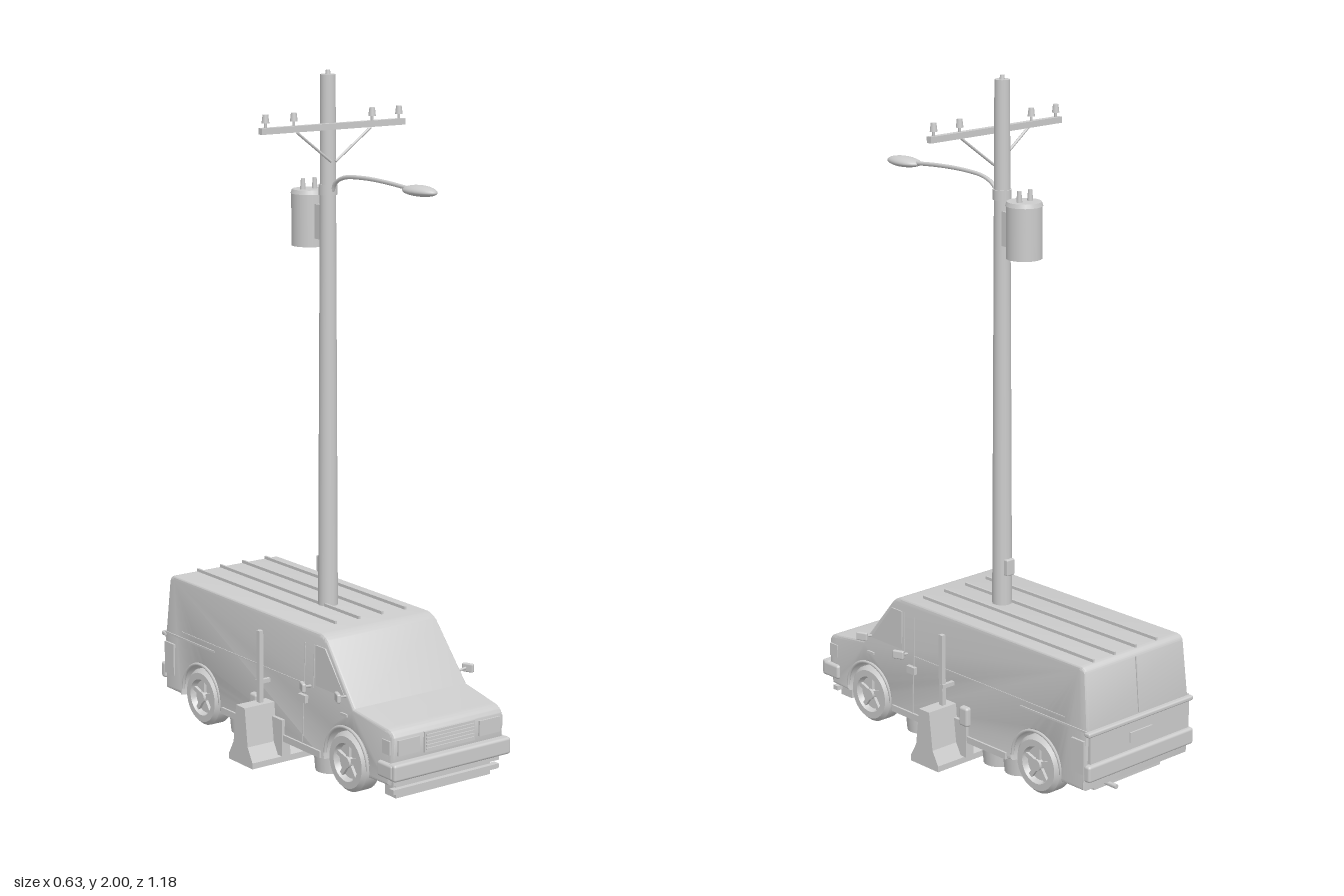
import * as THREE from 'three';
import { toCreasedNormals } from 'three/addons/utils/BufferGeometryUtils.js';
import { RoundedBoxGeometry } from 'three/addons/geometries/RoundedBoxGeometry.js';

export function createModel() {
  const model = new THREE.Group();
  const gray = new THREE.MeshStandardMaterial({ color: 0xcccccc });
  gray.name = 'lightGray';

  const add = (name, geo, x = 0, y = 0, z = 0, parent = model) => {
    const m = new THREE.Mesh(geo, gray);
    m.name = name;
    m.position.set(x, y, z);
    parent.add(m);
    return m;
  };
  const box = (name, w, h, d, x, y, z) => add(name, new THREE.BoxGeometry(w, h, d), x, y, z);
  const rbox = (name, w, h, d, x, y, z, r = 0.008) =>
    add(name, new RoundedBoxGeometry(w, h, d, 2, r), x, y, z);
  const cyl = (name, rt, rb, h, x, y, z, n = 20) =>
    add(name, new THREE.CylinderGeometry(rt, rb, h, n), x, y, z);
  const rod = (name, a, b, r) => {
    const p = new THREE.Vector3(...a), q = new THREE.Vector3(...b);
    const d = q.clone().sub(p);
    const m = add(name, new THREE.CylinderGeometry(r, r, d.length(), 8));
    m.position.copy(p).add(q).multiplyScalar(0.5);
    m.quaternion.setFromUnitVectors(new THREE.Vector3(0, 1, 0), d.normalize());
    return m;
  };
  // extrude a (z, y) outline across x, centred
  const across = (shape, width, bevel = 0) => {
    const g = new THREE.ExtrudeGeometry(shape, {
      depth: width - 2 * bevel, curveSegments: 14, bevelEnabled: bevel > 0,
      bevelSize: bevel, bevelThickness: bevel, bevelOffset: -bevel, bevelSegments: 3,
    });
    g.translate(0, 0, -(width - 2 * bevel) / 2);
    g.rotateY(-Math.PI / 2);
    return g;
  };

  // van body: side outline with wheel arches, sides leaning in towards the roof
  const wheelsZ = [-0.37, 0.365];
  const side = (y) => 0.212 - 0.036 * (y - 0.07);
  const s = new THREE.Shape();
  s.moveTo(-0.565, 0.07);
  for (const z of wheelsZ) {
    s.lineTo(z - 0.098, 0.07);
    s.absarc(z, 0.09, 0.1, Math.PI + 0.2, -0.2, true);
  }
  s.lineTo(0.55, 0.07);
  s.lineTo(0.565, 0.14);
  s.lineTo(0.567, 0.205);
  s.quadraticCurveTo(0.563, 0.228, 0.53, 0.232);
  s.lineTo(0.395, 0.252);
  s.lineTo(0.265, 0.412);
  s.quadraticCurveTo(0.25, 0.428, 0.225, 0.432);
  s.lineTo(-0.53, 0.432);
  s.quadraticCurveTo(-0.55, 0.432, -0.555, 0.415);
  s.lineTo(-0.572, 0.24);
  const bodyGeo = across(s, 0.42, 0.01);
  const p = bodyGeo.attributes.position;
  for (let i = 0; i < p.count; i++) {
    const nose = 1 - 0.3 * Math.max(0, p.getZ(i) - 0.4);
    p.setX(i, p.getX(i) / 0.21 * side(p.getY(i)) * nose);
  }
  add('vanBody', toCreasedNormals(bodyGeo, 0.5));
  box('underside', 0.27, 0.16, 1.06, 0, 0.12, 0);

  // roof ribs
  for (const x of [-0.106, -0.022, 0.0625, 0.147]) box('roofRib', 0.007, 0.012, 0.715, x, 0.435, -0.178);

  // wheels
  const w = 0.034;
  const tire = new THREE.LatheGeometry([
    [0, -0.5 * w], [0.05, -0.5 * w], [0.056, -w], [0.076, -w], [0.087, -0.65 * w],
    [0.087, 0.65 * w], [0.076, w], [0.056, w], [0.05, 0.5 * w], [0, 0.5 * w],
  ].map(([r, y]) => new THREE.Vector2(r, y)), 32);
  const tireGeo = toCreasedNormals(tire, 0.6).rotateZ(Math.PI / 2);
  for (const z of wheelsZ) {
    for (const k of [1, -1]) {
      const g = new THREE.Group();
      g.name = 'wheel';
      g.position.set(k * 0.177, 0.088, z);
      model.add(g);
      add('tire', tireGeo, 0, 0, 0, g);
      add('hub', new THREE.CylinderGeometry(0.017, 0.017, 0.024, 16).rotateZ(Math.PI / 2), k * 0.022, 0, 0, g);
      for (let i = 0; i < 5; i++) {
        const a = i * Math.PI * 0.4;
        const spoke = add('spoke', new THREE.BoxGeometry(0.012, 0.04, 0.014),
          k * 0.02, Math.cos(a) * 0.034, Math.sin(a) * 0.034, g);
        spoke.rotation.x = a;
      }
      // raised arch lip
      const lip = add('archLip', new THREE.TorusGeometry(0.1, 0.005, 6, 24, Math.PI), k * 0.208, 0.09, z);
      lip.rotation.y = Math.PI / 2;
    }
    rod('axle', [-0.16, 0.08, z], [0.16, 0.08, z], 0.014);
  }

  // front end
  rbox('frontBumper', 0.42, 0.05, 0.032, 0, 0.115, 0.574);
  for (const k of [1, -1]) {
    rbox('bumperEnd', 0.02, 0.045, 0.07, k * 0.203, 0.115, 0.545);
    box('headlight', 0.075, 0.045, 0.008, k * 0.145, 0.18, 0.568);
    box('turnSignal', 0.008, 0.04, 0.035, k * 0.199, 0.18, 0.54);
  }
  box('grilleFrame', 0.18, 0.06, 0.008, 0, 0.18, 0.568);
  for (let i = 0; i < 5; i++) box('grilleBar', 0.172, 0.005, 0.006, 0, 0.16 + i * 0.01, 0.573);
  for (let i = 0; i < 2; i++) box('lowerSlat', 0.38, 0.014, 0.02, 0, 0.05 + i * 0.025, 0.55);
  box('frontValance', 0.34, 0.06, 0.05, 0, 0.055, 0.52);

  // rear end
  rbox('rearBumper', 0.426, 0.05, 0.024, 0, 0.125, -0.576);
  box('rearPanel', 0.4, 0.085, 0.012, 0, 0.195, -0.573);
  rbox('rearSill', 0.424, 0.014, 0.022, 0, 0.242, -0.575, 0.005);
  box('rearDoorSeam', 0.004, 0.165, 0.004, 0, 0.335, -0.564).rotation.x = 0.097;
  box('rearPlate', 0.09, 0.03, 0.006, 0, 0.19, -0.581);
  rod('exhaust', [0.1, 0.06, -0.4], [0.1, 0.058, -0.585], 0.007);

  // side details, mirrored
  for (const k of [1, -1]) {
    const strip = (name, y, z, h, d, t = 0.006) => box(name, t, h, d, k * side(y), y, z);
    strip('beltMoulding', 0.248, -0.435, 0.006, 0.27);
    strip('upperSeam', 0.268, -0.16, 0.003, 0.64, 0.004);
    strip('doorSeam', 0.24, 0.16, 0.3, 0.003, 0.004).rotation.z = k * 0.036;
    strip('doorSeam', 0.33, 0.205, 0.13, 0.003, 0.004).rotation.z = k * 0.036;
    strip('rocker', 0.08, 0, 0.02, 0.5, 0.012);
    strip('rearCorner', 0.17, -0.54, 0.1, 0.05, 0.01);
    strip('doorHandle', 0.226, 0.163, 0.022, 0.035, 0.024);
    strip('sideLamp', 0.226, 0.355, 0.008, 0.03, 0.01);

    // door window as a thin plate
    const win = new THREE.Shape([[0.215, 0.275], [0.355, 0.275], [0.26, 0.395], [0.215, 0.395]]
      .map(([z, y]) => new THREE.Vector2(z, y)));
    const pane = add('doorWindow', across(win, 0.004), k * 0.2035);
    pane.rotation.z = 0;

    // mirrors
    for (const [z, y] of [[0.195, 0.272], [0.362, 0.284]]) {
      rod('mirrorArm', [k * 0.2, y - 0.005, z - 0.005], [k * 0.236, y, z - 0.003], 0.004);
      rbox('mirror', 0.012, 0.026, 0.036, k * 0.236, y, z, 0.004).rotation.y = k * 0.4;
    }

    // barrier end posts and blocks beside the van
    box('barrierPost', 0.014, 0.225, 0.015, k * 0.243, 0.28, -0.008);
    box('postBracket', 0.045, 0.012, 0.012, k * 0.228, 0.235, -0.014);
    box('sideBlock', 0.03, 0.11, 0.155, k * 0.206, 0.08, -0.008);
    rbox('sideCanister', 0.025, 0.06, 0.036, k * 0.212, 0.15, -0.075);
    for (const z of [0.2, -0.14, -0.23]) cyl('underTank', 0.05, 0.045, 0.055, k * 0.14, 0.035, z);
  }

  // concrete barrier running crosswise under the van
  const half = [[0.06, 0], [0.06, 0.018], [0.036, 0.06], [0.022, 0.175]];
  const outline = [...half, ...half.map(([z, y]) => [-z, y]).reverse()];
  add('barrier', across(new THREE.Shape(outline.map(([z, y]) => new THREE.Vector2(z, y))), 0.628), 0, 0, -0.007);

  // utility pole
  const poleZ = -0.004;
  cyl('pole', 0.022, 0.03, 1.64, 0, 1.17, poleZ, 16).scale.set(1, 0.997, 1);
  cyl('poleCap', 0.006, 0.009, 0.02, 0, 1.99, poleZ, 12);
  rbox('poleBox', 0.03, 0.05, 0.018, 0, 0.55, -0.034, 0.004);

  // crossarm with insulators and braces
  box('crossarm', 0.505, 0.018, 0.018, 0, 1.842, 0.022);
  for (const x of [-0.235, -0.138, 0.138, 0.235]) {
    cyl('insulatorPin', 0.004, 0.004, 0.02, x, 1.857, 0.022, 8);
    cyl('insulator', 0.008, 0.011, 0.024, x, 1.876, 0.022, 12);
  }
  for (const k of [1, -1]) rod('crossarmBrace', [k * 0.13, 1.832, 0.026], [k * 0.008, 1.742, 0.022], 0.004);

  // transformer can
  cyl('transformer', 0.052, 0.052, 0.155, 0, 1.567, -0.095, 28);
  cyl('transformerLid', 0.05, 0.054, 0.012, 0, 1.647, -0.095, 28);
  for (const k of [1, -1]) cyl('bushing', 0.006, 0.009, 0.035, k * 0.021, 1.667, -0.097, 10);
  box('transformerBracket', 0.035, 0.1, 0.03, 0, 1.565, -0.036);

  // street lamp arm and head
  const path = new THREE.CatmullRomCurve3([
    [0.015, 1.65], [0.03, 1.68], [0.07, 1.7], [0.16, 1.708], [0.27, 1.706], [0.38, 1.698],
  ].map(([z, y]) => new THREE.Vector3(0, y, z)));
  add('lampArm', new THREE.TubeGeometry(path, 24, 0.006, 8));
  cyl('armCollar', 0.027, 0.027, 0.03, 0, 1.66, poleZ, 16);
  const head = new THREE.SphereGeometry(1, 24, 14);
  const hp = head.attributes.position;
  for (let i = 0; i < hp.count; i++) {
    const z = hp.getZ(i), low = hp.getY(i) < 0 ? 0.8 : 1;
    hp.setXYZ(i, hp.getX(i) * 0.034 * (1 - 0.12 * z), hp.getY(i) * 0.017 * low, z * 0.066);
  }
  head.computeVertexNormals();
  add('lampHead', head, 0, 1.696, 0.42);

  return model;
}
